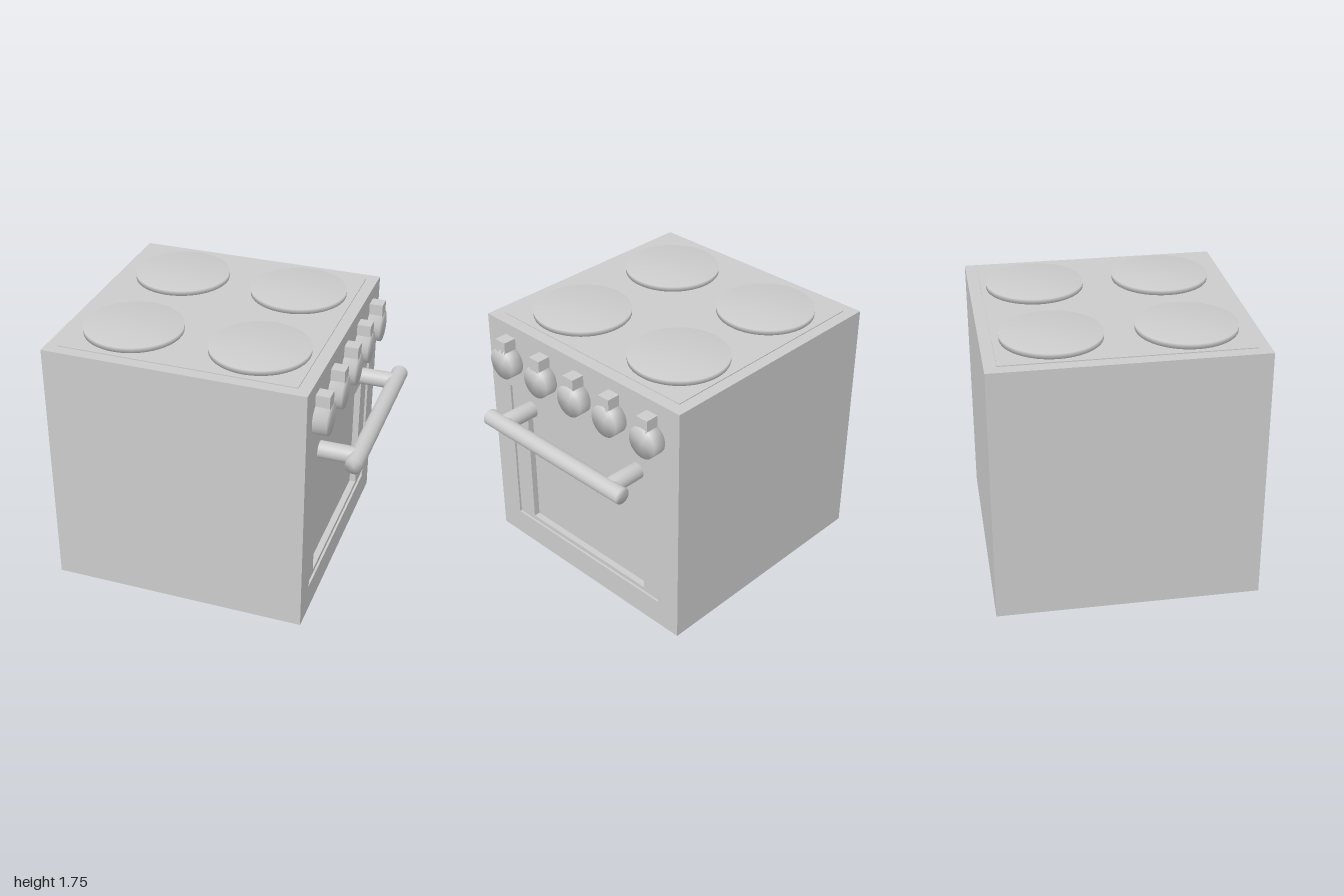
import * as THREE from 'three';
import { mergeVertices } from 'three/addons/utils/BufferGeometryUtils.js';

const material = new THREE.MeshStandardMaterial({ color: 0xcccccc });
const FRONT = 0.71;

export function createModel() {
  const model = new THREE.Group();

  function add(name, geometry, x, y, z) {
    const mesh = new THREE.Mesh(geometry, material);
    mesh.name = name;
    mesh.position.set(x, y, z);
    model.add(mesh);
    return mesh;
  }

  // Box given by its lower and upper corners
  function box(name, [x0, y0, z0], [x1, y1, z1]) {
    return add(name, new THREE.BoxGeometry(x1 - x0, y1 - y0, z1 - z0),
      (x0 + x1) / 2, (y0 + y1) / 2, (z0 + z1) / 2);
  }

  // Cylinder shaded softly over its rims
  function softCylinder(radius, length) {
    const g = new THREE.CylinderGeometry(radius, radius, length, 48);
    g.deleteAttribute('uv');
    g.deleteAttribute('normal');
    const merged = mergeVertices(g);
    merged.computeVertexNormals();
    return merged;
  }

  // Rectangular frame facing +x, with a rectangular opening
  function frame(name, outer, inner, x0, x1) {
    const corners = ([w, y0, y1]) => [[-w, y0], [w, y0], [w, y1], [-w, y1]]
      .map(([a, b]) => new THREE.Vector2(a, b));
    const shape = new THREE.Shape(corners(outer));
    shape.holes.push(new THREE.Path(corners(inner)));
    const g = new THREE.ExtrudeGeometry(shape, { depth: x1 - x0, bevelEnabled: false });
    g.rotateY(Math.PI / 2);
    return add(name, g, x0, 0, 0);
  }

  // Cabinet with a sunken door and a deeper window; [half width, bottom, top]
  const cabinet = [0.857, 0, 1.715];
  const door = [0.682, 0.185, 1.245];
  const window = [0.54, 0.215, 1.05];
  const paneX = 0.652;
  box('cabinet', [-1, 0, -0.857], [paneX, 1.715, 0.857]);
  frame('frontPanel', cabinet, door, paneX, FRONT);
  frame('ovenDoor', door, window, paneX, FRONT - 0.015);

  // Cooktop and four hot plates
  box('cooktop', [-0.92, 1.71, -0.78], [0.63, 1.721, 0.78]);
  for (const [x, z] of [[-0.565, -0.417], [0.26, -0.425], [-0.565, 0.42], [0.275, 0.42]]) {
    add('hotPlate', softCylinder(0.32, 0.036), x, 1.737, z);
  }

  // Control knobs, each with a square pointer on top
  for (const z of [-0.637, -0.315, 0, 0.312, 0.64]) {
    add('knob', softCylinder(0.106, 0.09), FRONT + 0.045, 1.46, z).rotation.z = -Math.PI / 2;
    box('knobPointer', [FRONT, 1.545, z - 0.045], [FRONT + 0.09, 1.632, z + 0.045]);
  }

  // Door handle: a bar on two posts
  add('handleBar', softCylinder(0.055, 1.23), 0.945, 1.135, 0).rotation.x = Math.PI / 2;
  for (const z of [-0.49, 0.49]) {
    const post = softCylinder(0.056, 0.23);
    add('handlePost', post, 0.81, 1.134, z).rotation.z = -Math.PI / 2;
  }

  return model;
}
